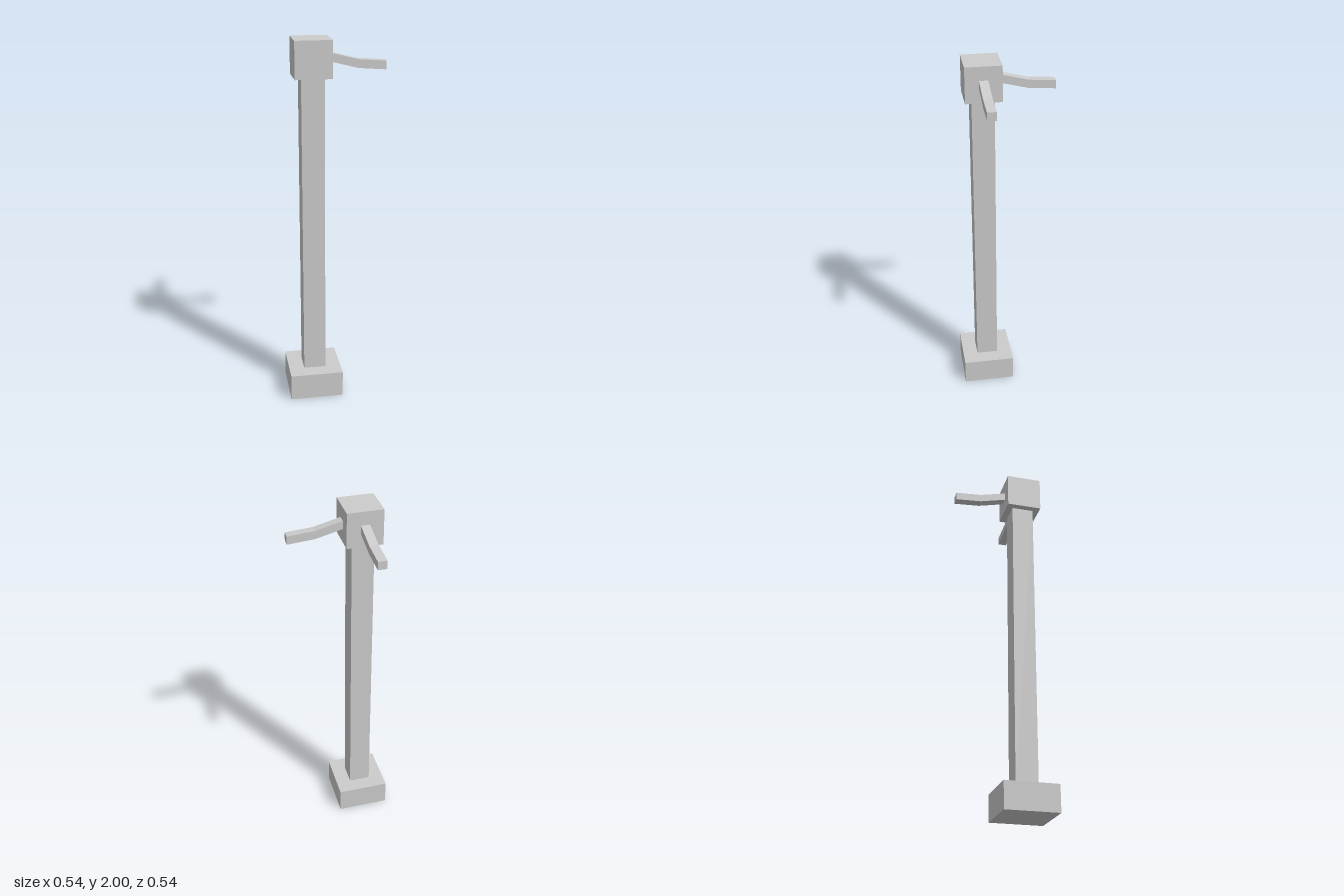
import * as THREE from 'three';

const material = new THREE.MeshStandardMaterial({ color: 0xcccccc, flatShading: true });

// Square block standing on height y
function block(name, width, y, height) {
  const mesh = new THREE.Mesh(new THREE.BoxGeometry(width, height, width), material);
  mesh.name = name;
  mesh.position.y = y + height / 2;
  return mesh;
}

// Drooping square arm, bent once, reaching out along +x from the head
function arm(name, turn) {
  const thick = 0.045, depth = 0.048;
  const lower = [[0.097, 1.881], [0.244, 1.844], [0.39, 1.833]];
  const upper = lower.map(([x, y]) => [x, y + thick]).reverse();
  const shape = new THREE.Shape([...lower, ...upper].map(([x, y]) => new THREE.Vector2(x, y)));
  const geometry = new THREE.ExtrudeGeometry(shape, { depth, bevelEnabled: false });
  geometry.translate(0, 0, -depth / 2);
  const mesh = new THREE.Mesh(geometry, material);
  mesh.name = name;
  mesh.rotation.y = turn;
  return mesh;
}

export function createModel() {
  const model = new THREE.Group();
  model.name = 'post';
  const column = new THREE.Group();
  column.name = 'column';
  column.position.set(-0.122, 0, 0.122);
  column.add(
    block('base', 0.293, 0, 0.146),
    block('shaft', 0.122, 0.146, 1.659),
    block('head', 0.195, 1.805, 0.195),
    arm('leftArm', 0),
    arm('backArm', Math.PI / 2),
  );
  model.add(column);
  return model;
}
